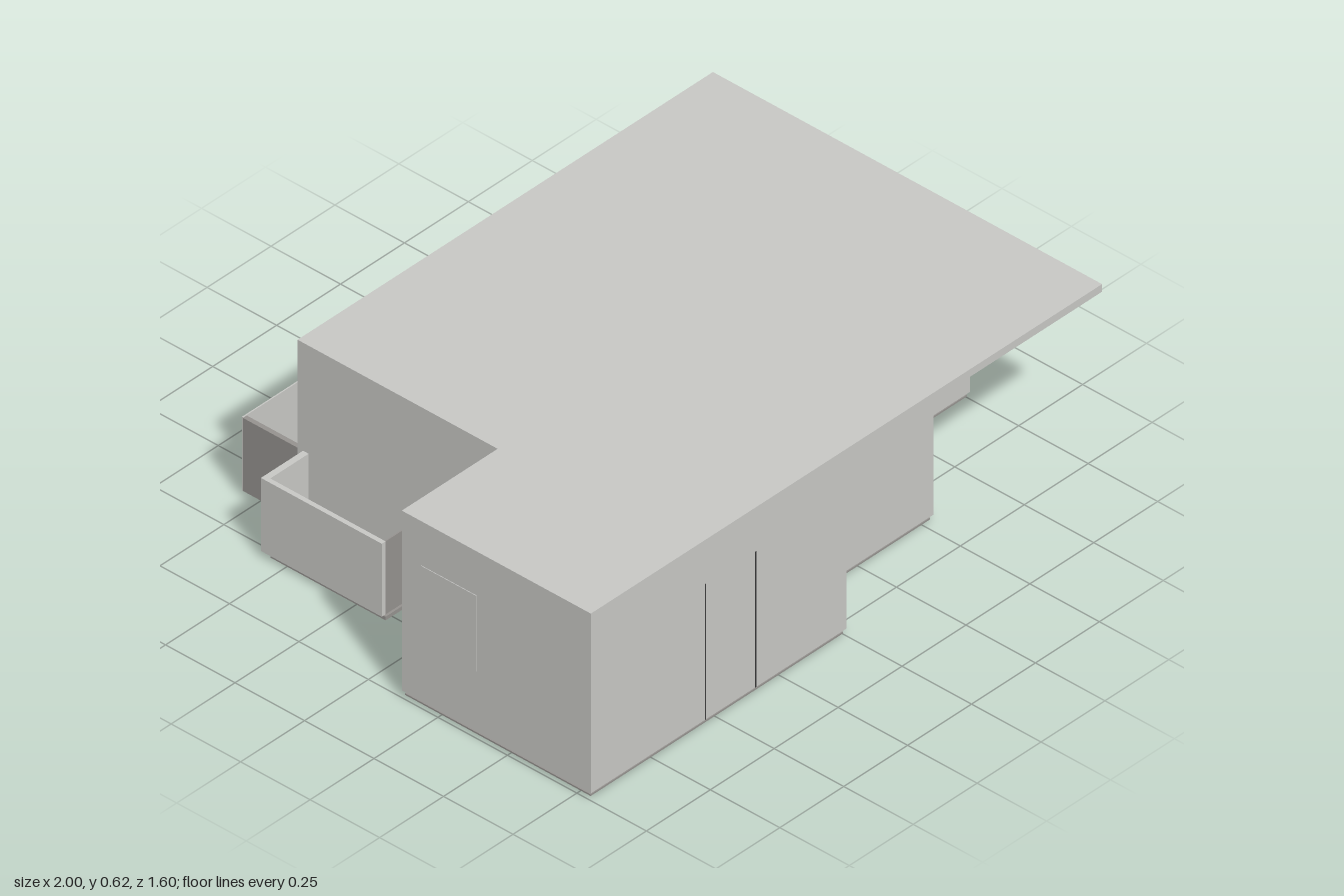
import * as THREE from 'three';

const light = new THREE.MeshStandardMaterial({ color: 0xc8c8c5 });
light.name = 'plaster';
const dark = new THREE.MeshStandardMaterial({ color: 0x95928f });
dark.name = 'floorGrey';
const seam = new THREE.MeshStandardMaterial({ color: 0x3c3c3c });
seam.name = 'seamGrey';

// Box given by its limits on each axis
function box(name, mat, [x0, x1], [y0, y1], [z0, z1]) {
  const mesh = new THREE.Mesh(new THREE.BoxGeometry(x1 - x0, y1 - y0, z1 - z0), mat);
  mesh.position.set((x0 + x1) / 2, (y0 + y1) / 2, (z0 + z1) / 2);
  mesh.name = name;
  return mesh;
}

// Upright prism over a floor plan of [x, z] points
function prism(name, mat, plan, y0, y1) {
  const shape = new THREE.Shape(plan.map(([x, z]) => new THREE.Vector2(x, -z)));
  const geo = new THREE.ExtrudeGeometry(shape, { depth: y1 - y0, bevelEnabled: false });
  geo.rotateX(-Math.PI / 2);
  const mesh = new THREE.Mesh(geo, mat);
  mesh.position.y = y0;
  mesh.name = name;
  return mesh;
}

// Stepped outline of the rooms, drawn inwards by d
const roomPlan = (d) => [
  [-1 + d, 0.8 - d], [0 - d, 0.8 - d], [0 - d, 0.625 - d], [0.53 - d, 0.625 - d],
  [0.53 - d, 0.325 - d], [1 - d, 0.325 - d], [1 - d, -0.6 + d],
  [-0.625 + d, -0.6 + d], [-0.625 + d, 0.12 + d], [-1 + d, 0.12 + d],
];

const roofPlan = [[-1, 0.8], [1, 0.8], [1, -0.6], [-0.625, -0.6], [-0.625, 0.12], [-1, 0.12]];

export function createModel() {
  const model = new THREE.Group();
  model.name = 'apartment';

  // Main shell, overhanging roof and floor
  model.add(
    prism('walls', light, roomPlan(0), 0.024, 0.59),
    prism('roof', light, roofPlan, 0.59, 0.615),
    prism('baseSlab', light, roomPlan(0.012), 0.014, 0.024),
    prism('floorUnderside', dark, roomPlan(0.006), 0.009, 0.014),
  );

  // Two shallow bays on the back wall
  for (const [x0, x1] of [[0.04, 0.41], [0.5, 0.92]]) {
    model.add(box('bay', light, [x0, x1], [0.022, 0.525], [-0.667, -0.6]));
  }

  // Back balcony
  const back = new THREE.Group();
  back.name = 'backBalcony';
  back.add(
    box('balconyFloor', dark, [-0.605, -0.12], [0, 0.012], [-0.795, -0.6]),
    box('balconyFront', light, [-0.625, -0.1], [0.02, 0.262], [-0.8, -0.796]),
    box('balconySide', dark, [-0.625, -0.61], [0.02, 0.26], [-0.796, -0.6]),
    box('balconySide', dark, [-0.12, -0.1], [0.02, 0.26], [-0.796, -0.6]),
  );
  model.add(back);

  // Side balcony
  const side = new THREE.Group();
  side.name = 'sideBalcony';
  side.add(
    box('balconyFloor', dark, [-0.775, -0.625], [0, 0.012], [-0.56, -0.145]),
    box('balconyFront', light, [-0.79, -0.775], [0.02, 0.26], [-0.58, -0.145]),
    box('balconySide', light, [-0.775, -0.625], [0.02, 0.26], [-0.58, -0.56]),
    box('balconySide', dark, [-0.775, -0.625], [0.02, 0.26], [-0.149, -0.145]),
  );
  model.add(side);

  // Front door joints
  for (const x of [-0.552, -0.355]) {
    model.add(box('doorJoint', seam, [x - 0.002, x + 0.002], [0.024, 0.47], [0.799, 0.801]));
  }

  // Balcony door joints, handle and glazed panel
  for (const x of [-0.14, -0.36]) {
    model.add(box('balconyDoorJoint', seam, [x - 0.003, x + 0.003], [0.024, 0.48], [-0.602, -0.599]));
  }
  model.add(
    box('doorHandle', seam, [-0.158, -0.15], [0.22, 0.26], [-0.606, -0.6]),
    box('balconyWindow', light, [-0.56, -0.37], [0.12, 0.48], [-0.603, -0.599]),
  );

  // Side window
  model.add(box('sideWindow', light, [-1.002, -0.999], [0.22, 0.47], [0.19, 0.39]));

  return model;
}
